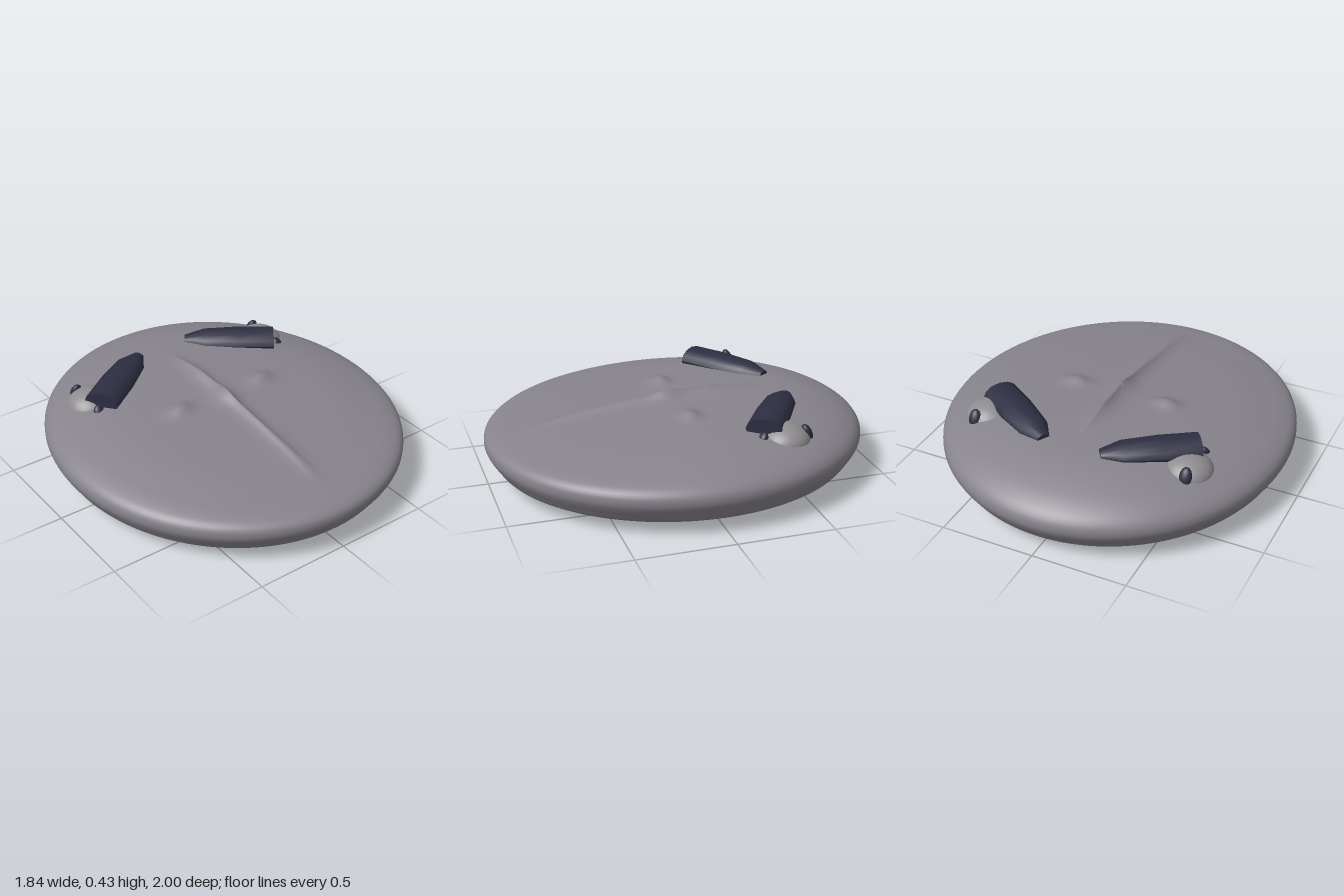
import * as THREE from 'three';
import { mergeVertices, toCreasedNormals } from 'three/addons/utils/BufferGeometryUtils.js';

const skin = new THREE.MeshStandardMaterial({ color: 0x87838c });
skin.name = 'warm grey';
const eyeGrey = new THREE.MeshStandardMaterial({ color: 0x8f8c90 });
eyeGrey.name = 'eye grey';
const dark = new THREE.MeshStandardMaterial({ color: 0x2d2e42 });
dark.name = 'dark navy';

const add = (parent, name, geometry, material) => {
  const mesh = new THREE.Mesh(geometry, material);
  mesh.name = name;
  parent.add(mesh);
  return mesh;
};
const vectors = (list) => list.map(([x, y]) => new THREE.Vector2(x, y));
const bell = (v, width) => Math.exp(-((v / width) ** 2));

// Height of the central crest along z
function crestHeight(z) {
  const keys = [[-0.48, 0], [-0.2, 0.045], [0.05, 0.045], [0.6, 0.026], [0.85, 0]];
  for (let i = 1; i < keys.length; i++) {
    const [z0, h0] = keys[i - 1], [z1, h1] = keys[i];
    if (z >= z0 && z <= z1) return THREE.MathUtils.lerp(h0, h1, (z - z0) / (z1 - z0));
  }
  return 0;
}

// Flattened oval disc; its top tilts forward and carries crest, nose and cheek bumps
function bodyGeometry() {
  const profile = new THREE.SplineCurve(vectors([
    [0, 0.003], [0.5, 0.01], [0.76, 0.032], [0.915, 0.065], [0.96, 0.11], [0.995, 0.165],
    [1, 0.2], [0.99, 0.23], [0.95, 0.262], [0.85, 0.297], [0.65, 0.335], [0.35, 0.355], [0, 0.36],
  ]));
  const points = profile.getSpacedPoints(140);
  points[0].x = points[140].x = 0;
  const lathe = new THREE.LatheGeometry(points, 192);
  const p = lathe.attributes.position;
  for (let i = 0; i < p.count; i++) {
    const r = Math.hypot(p.getX(i), p.getZ(i));
    const x = p.getX(i) * 0.918, z = p.getZ(i);
    let y = p.getY(i);
    if (y > 0.2) {
      y -= 0.065 * z * Math.max(0, 1 - r ** 4);
      y += crestHeight(z) * Math.exp(-Math.abs(x) / 0.032);
      y += 0.012 * bell(x, 0.06) * bell(z - 0.04, 0.07);
      y += 0.03 * bell(Math.abs(x) - 0.26, 0.07) * bell(z + 0.005, 0.05);
    }
    p.setXYZ(i, x, Math.max(0, y), z);
  }
  lathe.deleteAttribute('uv');
  lathe.deleteAttribute('normal');
  const merged = mergeVertices(lathe, 1e-5);
  merged.computeVertexNormals();
  return merged;
}

// Tapered log running from above the eye down to an inner tip
function browGeometry(side) {
  const outer = new THREE.Vector3(side * 0.565, 0.368, -0.29);
  const inner = new THREE.Vector3(side * 0.155, 0.374, -0.57);
  const length = outer.distanceTo(inner);
  const profile = vectors([[0, 0], [0.093, 0], [0.094, 0.4], [0.08, 0.78], [0.033, 1], [0, 1]]);
  profile.forEach((v) => { v.y *= length; });
  const along = inner.clone().sub(outer).normalize();
  const across = along.clone().cross(new THREE.Vector3(0, 1, 0)).normalize();
  const up = across.clone().cross(along);
  const geometry = new THREE.LatheGeometry(profile, 12);
  geometry.scale(1, 1, 0.64);
  geometry.applyMatrix4(new THREE.Matrix4().makeBasis(across, along, up.clone().negate()
    .multiplyScalar(Math.sign(across.clone().cross(along).dot(up)) * -1)).setPosition(outer));
  return toCreasedNormals(geometry, 0.7);
}

export function createModel() {
  const model = new THREE.Group();
  model.name = 'flatFace';
  add(model, 'body', bodyGeometry(), skin);

  const ball = new THREE.SphereGeometry(1, 32, 20);
  for (const side of [1, -1]) {
    const label = side > 0 ? 'left' : 'right';
    add(model, label + 'Brow', browGeometry(side), dark);

    const eye = add(model, label + 'Eye', ball, eyeGrey);
    eye.position.set(side * 0.555, 0.295, -0.41);
    eye.scale.set(0.13, 0.092, 0.13);

    // Upright slit pupils on the back and front of the eye
    for (const [name, y, z, lean] of [['BackPupil', 0.335, -0.515, 0.4], ['FrontPupil', 0.32, -0.275, -0.4]]) {
      const pupil = add(model, label + name, ball, dark);
      pupil.position.set(side * 0.585, y, z);
      pupil.scale.set(0.032, 0.05, 0.024);
      pupil.rotation.x = lean;
    }
  }
  return model;
}
